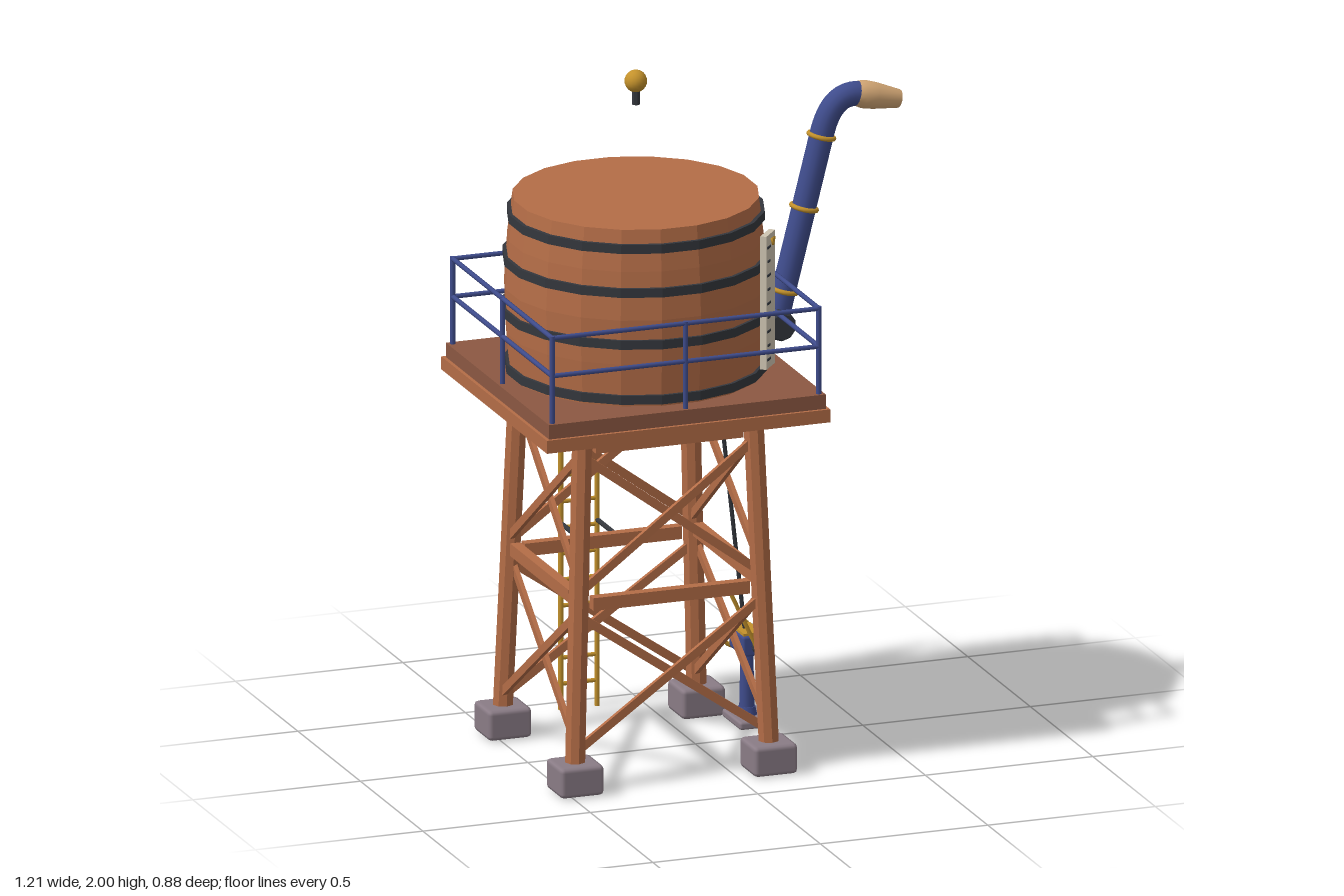
import * as THREE from 'three';
import { RoundedBoxGeometry } from 'three/addons/geometries/RoundedBoxGeometry.js';

const mat = (name, color, extra = {}) => {
  const m = new THREE.MeshStandardMaterial({ color, ...extra });
  m.name = name;
  return m;
};
const V = (x, y, z) => new THREE.Vector3(x, y, z);

export function createModel() {
  const flat = { flatShading: true };
  const wood = mat('wood', 0xb46d47, flat);
  const darkWood = mat('dark wood', 0x8c5842, flat);
  const blue = mat('blue paint', 0x3f4c8c);
  const iron = mat('iron', 0x34373d, flat);
  const brass = mat('brass', 0xc4922c);
  const stone = mat('stone', 0x8a7c86);
  const canvas = mat('canvas', 0xd8ab78, { side: THREE.DoubleSide });
  const cream = mat('cream', 0xcfc5b2);

  const model = new THREE.Group();
  model.name = 'waterTower';
  // everything on the tower is placed relative to its own axis
  const tower = new THREE.Group();
  tower.name = 'tower';
  tower.position.set(-0.184, 0, 0.017);
  model.add(tower);

  const add = (parent, name, geo, material, pos) => {
    const m = new THREE.Mesh(geo, material);
    m.name = name;
    if (pos) m.position.copy(pos);
    parent.add(m);
    return m;
  };
  const box = (parent, name, material, w, h, d, x, y, z) =>
    add(parent, name, new THREE.BoxGeometry(w, h, d), material, V(x, y, z));
  const up = V(0, 1, 0);
  // round bar between two points
  const rod = (parent, name, material, a, b, r, sides = 8, r2 = r) => {
    const d = b.clone().sub(a);
    const m = add(parent, name, new THREE.CylinderGeometry(r2, r, d.length(), sides), material,
      a.clone().add(b).multiplyScalar(0.5));
    m.quaternion.setFromUnitVectors(up, d.normalize());
  };
  // rectangular plank between two points
  const plank = (parent, name, a, b, h, t) => {
    const m = box(parent, name, wood, t, h, a.distanceTo(b), 0, 0, 0);
    m.position.copy(a).add(b).multiplyScalar(0.5);
    m.quaternion.setFromRotationMatrix(new THREE.Matrix4().lookAt(b, a, up));
  };

  // Legs and footings
  const half = y => 0.289 - 0.034 * (y - 0.085) / 0.96;
  for (const sx of [-1, 1]) for (const sz of [-1, 1]) {
    rod(tower, 'leg', wood, V(sx * half(0.06), 0.06, sz * half(0.06)),
      V(sx * half(1.06), 1.06, sz * half(1.06)), 0.03);
    add(tower, 'footing', new RoundedBoxGeometry(0.13, 0.088, 0.13, 1, 0.013), stone,
      V(sx * 0.289, 0.046, sz * 0.289));
  }

  // Beams and cross braces on the four sides
  for (let i = 0; i < 4; i++) {
    const side = new THREE.Group();
    side.name = 'sideFrame';
    side.rotation.y = i * Math.PI / 2;
    const lift = i % 2 ? 0.014 : 0;
    for (const [y, w] of [[0.997, 0.44], [0.543, 0.468]])
      box(side, 'beam', wood, w, 0.037, 0.03, 0, y + lift, half(y));
    for (const [y0, y1] of [[0.12, 0.51], [0.58, 0.97]]) for (const s of [-1, 1]) {
      const z = s * 0.007;
      plank(side, 'crossBrace', V(-s * half(y0), y0, half(y0) + z),
        V(s * half(y1), y1, half(y1) + z), 0.024, 0.013);
    }
    // Platform rim
    box(side, 'platformRim', wood, 0.846, 0.038, 0.03, 0, 1.064, 0.408);
    tower.add(side);
  }

  // Platform
  box(tower, 'platformDeck', darkWood, 0.826, 0.07, 0.826, 0, 1.09, 0);

  // Barrel tank with hoops
  const SIDES = 20, turn = Math.PI / SIDES;
  const profile = [[0, 1.125], [0.357, 1.125], [0.367, 1.25], [0.371, 1.38], [0.362, 1.52], [0.347, 1.639], [0, 1.639]];
  add(tower, 'tank', new THREE.LatheGeometry(profile.map(p => new THREE.Vector2(...p)), SIDES, turn), wood);
  for (const [y, r] of [[1.146, 0.369], [1.31, 0.378], [1.461, 0.375], [1.586, 0.363]]) {
    const ring = [[r - 0.022, y - 0.013], [r, y - 0.013], [r, y + 0.013], [r - 0.022, y + 0.013], [r - 0.022, y - 0.013]];
    add(tower, 'hoop', new THREE.LatheGeometry(ring.map(p => new THREE.Vector2(...p)), SIDES, turn), iron);
  }

  // Finial above the tank
  rod(tower, 'finialStem', iron, V(0, 1.9, 0), V(0, 1.96, 0), 0.012);
  add(tower, 'finialBall', new THREE.SphereGeometry(0.032, 16, 12), brass, V(0, 1.968, 0));

  // Railing, open at the back for the ladder
  const R = 0.398, railYs = [1.263, 1.374];
  const post = (x, z) => rod(tower, 'railPost', blue, V(x, 1.12, z), V(x, 1.38, z), 0.008);
  const rails = (x0, z0, x1, z1) => railYs.forEach(y =>
    rod(tower, 'rail', blue, V(x0, y, z0), V(x1, y, z1), 0.007));
  for (const s of [-1, 1]) {
    post(s * R, R); post(s * R, -R); post(s * R, 0); post(s * 0.1, -R);
    rails(s * R, -R, s * R, R);
    rails(s * R, -R, s * 0.1, -R);
  }
  post(0, R);
  rails(-R, R, R, R);

  // Ladder
  const LZ = -0.452;
  for (const x of [-0.055, 0.053]) {
    rod(tower, 'ladderRail', brass, V(x, 0, LZ), V(x, 1.38, LZ), 0.008);
    rod(tower, 'ladderBracket', iron, V(x, 1.09, -0.4), V(x, 1.09, LZ), 0.008);
    rod(tower, 'ladderBracket', iron, V(x, 0.545, -0.27), V(x, 0.545, LZ), 0.007);
  }
  for (let i = 0; i < 18; i++) {
    const y = 0.075 + i * 0.0763;
    rod(tower, 'ladderRung', brass, V(-0.055, y, LZ), V(0.053, y, LZ), 0.006, 6);
  }

  // Level gauge on the tank
  const gauge = new THREE.Group();
  gauge.name = 'levelGauge';
  gauge.rotation.y = 0.875;
  tower.add(gauge);
  box(gauge, 'gaugeBoard', cream, 0.074, 0.39, 0.018, 0, 1.368, 0.391);
  for (let i = 0; i < 9; i++)
    box(gauge, 'gaugeTick', iron, i % 2 ? 0.018 : 0.028, 0.006, 0.004, -0.018, 1.2 + i * 0.041, 0.401);
  const pointer = add(gauge, 'gaugePointer', new THREE.CylinderGeometry(0.015, 0.015, 0.008, 3), brass, V(0.012, 1.54, 0.402));
  pointer.rotation.x = Math.PI / 2;

  // Spout: valve, pipe, collars and canvas nozzle
  const spout = new THREE.Group();
  spout.name = 'spout';
  spout.position.z = 0.017;
  model.add(spout);
  const valve = [[0, -0.068], [0.037, -0.068], [0.043, -0.06], [0.043, 0.06], [0.037, 0.068], [0, 0.068]];
  add(spout, 'valveBody', new THREE.LatheGeometry(valve.map(p => new THREE.Vector2(...p)), 10), iron, V(0.23, 1.22, 0))
    .rotation.x = Math.PI / 2;
  rod(spout, 'valveInlet', iron, V(0.16, 1.22, 0), V(0.23, 1.22, 0), 0.04, 10);
  const path = new THREE.CurvePath();
  const p0 = V(0.237, 1.225, 0), p1 = V(0.372, 1.755, 0), p2 = V(0.49, 1.857, 0);
  path.add(new THREE.LineCurve3(p0, p1));
  path.add(new THREE.CubicBezierCurve3(p1, V(0.39, 1.826, 0), V(0.425, 1.872, 0), p2));
  add(spout, 'spoutPipe', new THREE.TubeGeometry(path, 48, 0.035, 14), blue);
  const dir = p1.clone().sub(p0).normalize();
  for (const t of [0.155, 0.6, 0.985]) {
    add(spout, 'pipeCollar', new THREE.TorusGeometry(0.036, 0.007, 8, 20), brass, p0.clone().lerp(p1, t))
      .quaternion.setFromUnitVectors(V(0, 0, 1), dir);
  }
  rod(spout, 'pipeEnd', blue, V(0.478, 1.86, 0), V(0.492, 1.857, 0), 0.033, 14);
  const sock = [[0.036, 0], [0.04, 0.02], [0.038, 0.055], [0.026, 0.13], [0.021, 0.128], [0.03, 0.05]];
  add(spout, 'canvasNozzle', new THREE.LatheGeometry(sock.map(p => new THREE.Vector2(...p)), 14), canvas, V(0.475, 1.86, 0))
    .quaternion.setFromUnitVectors(up, V(0.12, -0.028, 0).normalize());

  // Control stand beside the tower
  const stand = new THREE.Group();
  stand.name = 'controlStand';
  stand.position.set(0.205, 0, -0.137);
  model.add(stand);
  add(stand, 'standBase', new RoundedBoxGeometry(0.108, 0.024, 0.15, 1, 0.008), stone, V(0.006, 0.014, 0));
  rod(stand, 'standFoot', blue, V(0, 0.024, 0), V(0, 0.05, 0), 0.03, 12, 0.024);
  rod(stand, 'standColumn', blue, V(0, 0.04, 0), V(0, 0.22, 0), 0.022, 12, 0.018);
  add(stand, 'standHead', new RoundedBoxGeometry(0.066, 0.06, 0.115, 1, 0.008), blue, V(0, 0.24, 0));
  box(stand, 'headCap', brass, 0.056, 0.008, 0.1, 0, 0.273, 0);
  rod(stand, 'wheelShaft', iron, V(0, 0.24, 0.09), V(0, 0.24, -0.09), 0.007);
  for (const z of [-0.09, 0.084])
    rod(stand, 'shaftHub', iron, V(0, 0.24, z - 0.009), V(0, 0.24, z + 0.009), 0.013);

  // Hand wheel with spokes
  add(stand, 'handWheel', new THREE.TorusGeometry(0.041, 0.006, 8, 20), brass, V(0, 0.24, -0.09));
  for (let i = 0; i < 3; i++) {
    const a = i * Math.PI / 3, x = 0.041 * Math.cos(a), y = 0.041 * Math.sin(a);
    rod(stand, 'wheelSpoke', brass, V(-x, 0.24 - y, -0.09), V(x, 0.24 + y, -0.09), 0.004, 6);
  }

  // Lever and pull cable
  rod(stand, 'lever', brass, V(0, 0.24, 0.084), V(-0.088, 0.43, 0.084), 0.006);
  add(stand, 'leverKnob', new THREE.SphereGeometry(0.012, 10, 8), brass, V(-0.088, 0.432, 0.084));
  rod(model, 'pullCable', iron, V(0.2, 0.27, -0.14), V(0.088, 1.06, -0.066), 0.006, 6);

  return model;
}
